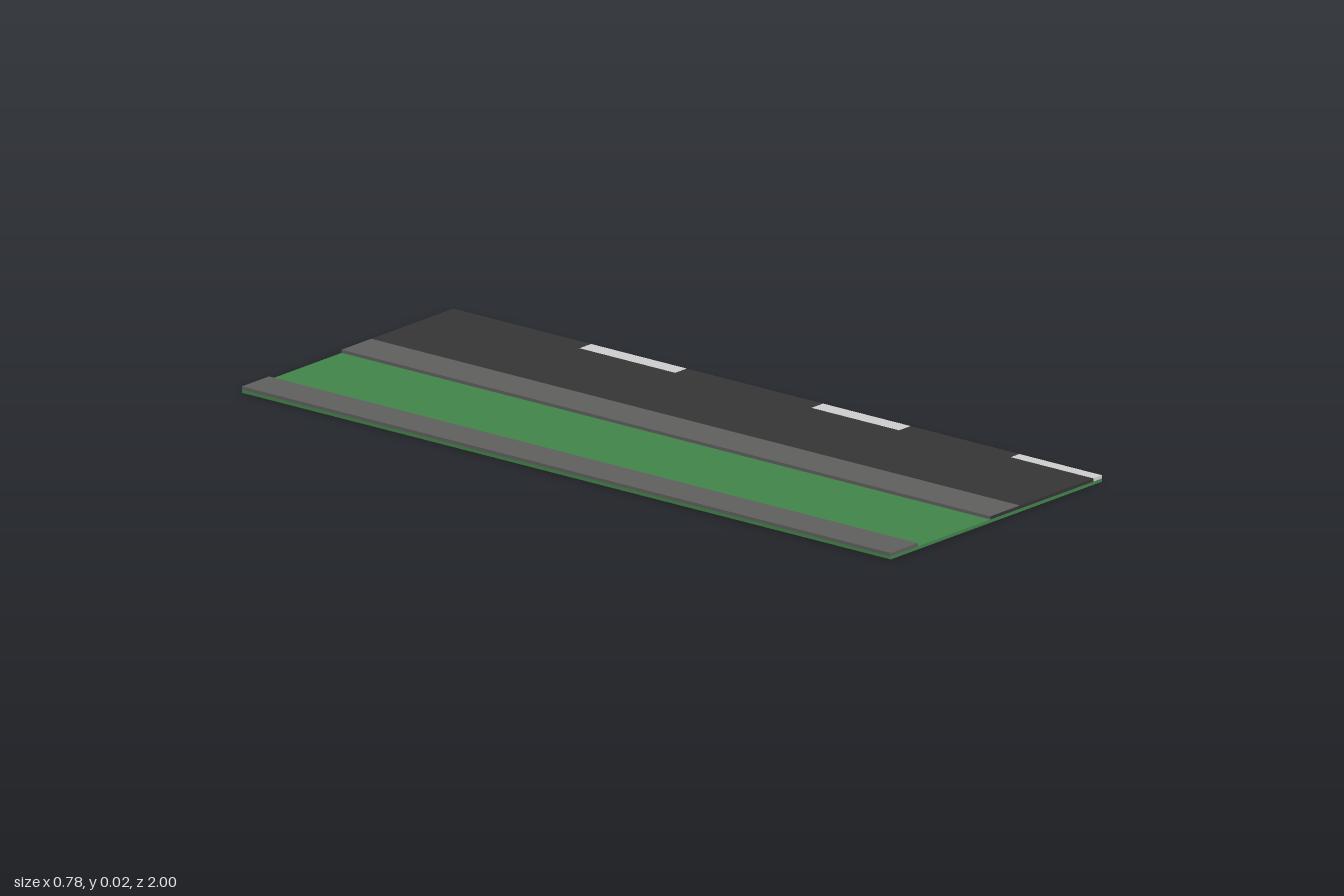
import * as THREE from 'three';

const mat = (name, color) => {
  const m = new THREE.MeshStandardMaterial({ color });
  m.name = name;
  return m;
};

export function createModel() {
  const grass = mat('grass green', 0x42844a);
  const paving = mat('paving grey', 0x5e5f5d);
  const asphalt = mat('asphalt', 0x353535);
  const paint = mat('line white', 0xcccccc);

  const group = new THREE.Group();
  group.name = 'roadSection';

  // Box given by its extents on each axis
  const slab = (name, material, [x0, x1], [y0, y1], [z0, z1]) => {
    const mesh = new THREE.Mesh(new THREE.BoxGeometry(x1 - x0, y1 - y0, z1 - z0), material);
    mesh.position.set((x0 + x1) / 2, (y0 + y1) / 2, (z0 + z1) / 2);
    mesh.name = name;
    group.add(mesh);
  };

  const ground = [0, 0.008], surface = [0.008, 0.016], full = [-1, 1];
  const laneEdge = 0.347, side = 0.39;

  // Ground plate, footpath, kerbside strip and lane
  slab('grassBase', grass, [-side, side], ground, full);
  slab('footpath', paving, [-side, -0.29], surface, full);
  const stripFaces = [paving, paving, paving, paving, asphalt, paving];
  slab('roadShoulder', stripFaces, [-0.022, 0.087], surface, full);
  slab('lane', asphalt, [0.087, laneEdge], surface, full);

  // Centre line: dashes with asphalt filling the gaps
  const dashes = [[-0.575, -0.28], [0.14, 0.41], [0.745, 1]];
  let z = -1;
  for (const [start, end] of dashes) {
    slab('laneGap', asphalt, [laneEdge, side], surface, [z, start]);
    const inner = end === 1 ? 0.358 : laneEdge;
    if (inner > laneEdge) slab('laneFill', asphalt, [laneEdge, inner], surface, [start, end]);
    slab('lineDash', paint, [inner, side], surface, [start, end]);
    z = end;
  }
  slab('laneGap', asphalt, [laneEdge, side], surface, [-0.28, 0.14]);
  return group;
}
